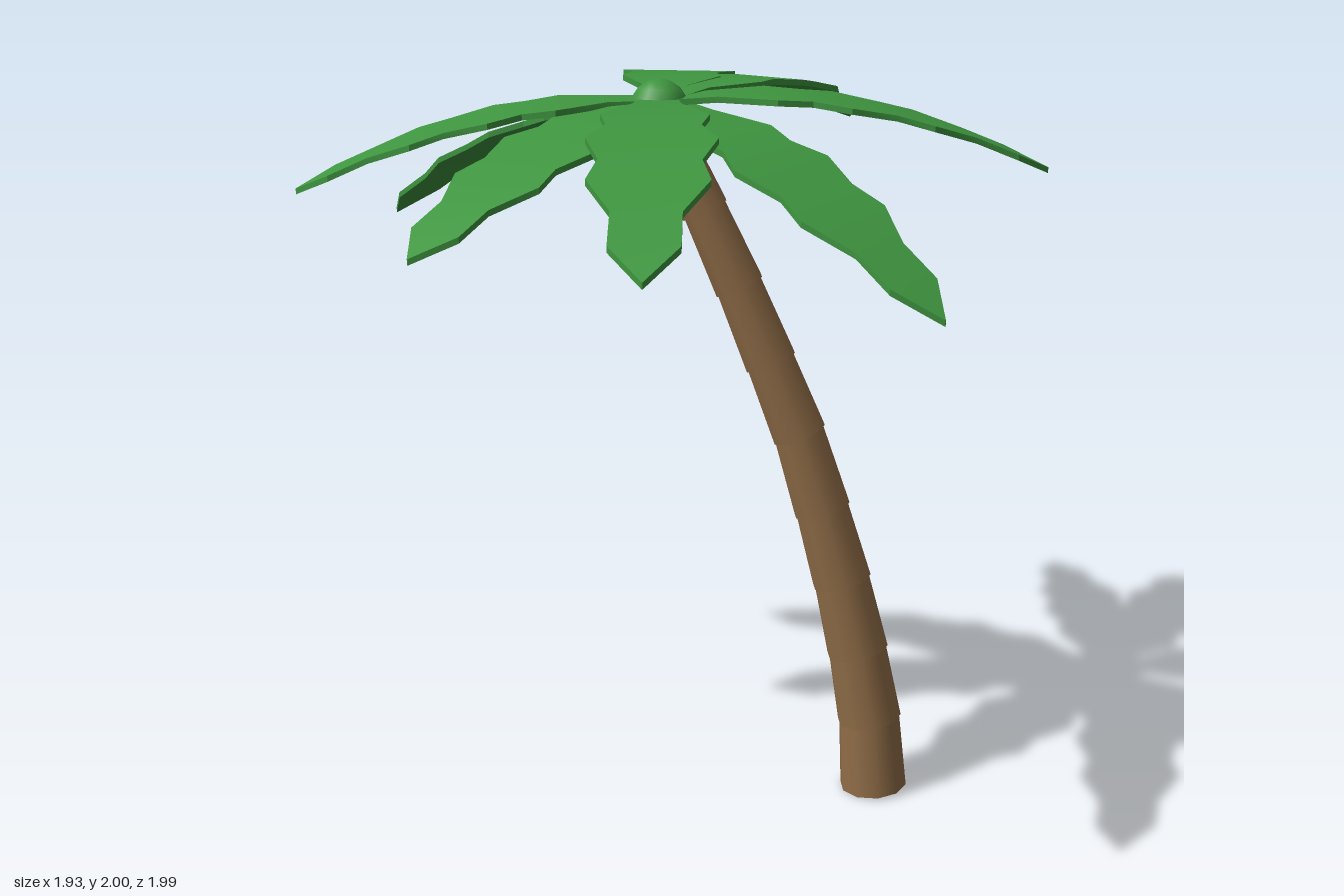
import * as THREE from 'three';
import { toCreasedNormals } from 'three/addons/utils/BufferGeometryUtils.js';

const CROWN = new THREE.Vector3(-0.05, 1.95, -0.045);

// Frond outline: fraction of length, half width
const OUTLINE = [
  [0.04, 0.05], [0.14, 0.06], [0.28, 0.13], [0.37, 0.112], [0.46, 0.153],
  [0.58, 0.117], [0.67, 0.138], [0.79, 0.078], [0.9, 0.078], [1, 0.001],
];

// Frond tips
const TIPS = [
  [0.96, 1.76, -0.085], [0.55, 1.79, -0.86], [0.11, 1.82, -1.0], [-0.78, 1.55, -0.7],
  [-0.97, 1.73, -0.055], [-0.64, 1.69, 0.58], [-0.13, 1.73, 0.99], [0.55, 1.57, 0.72],
];

// Trunk centre line (x, y), one point per ring
const RINGS = [
  [0.555, 0.008], [0.537, 0.22], [0.497, 0.43], [0.447, 0.64], [0.387, 0.85],
  [0.32, 1.065], [0.24, 1.265], [0.155, 1.47], [0.065, 1.67], [-0.045, 1.9],
];

// Drooping blade: thin rectangular sections swept along a parabola
function frondGeometry(tip) {
  const dx = tip[0] - CROWN.x, dz = tip[2] - CROWN.z;
  const length = Math.hypot(dx, dz);
  const ux = dx / length, uz = dz / length;
  const bend = 0.31;
  const rise = (tip[1] - CROWN.y) / length + bend * length;
  const positions = [], index = [];
  OUTLINE.forEach(([t, w], i) => {
    const s = t * length;
    const y = CROWN.y + rise * s - bend * s * s;
    for (const [side, drop] of [[1, 0], [-1, 0], [-1, 0.015], [1, 0.015]]) {
      positions.push(CROWN.x + ux * s - uz * w * side, y - drop, CROWN.z + uz * s + ux * w * side);
    }
    if (i === 0) return;
    for (let k = 0; k < 4; k++) {
      const a = (i - 1) * 4 + k, b = (i - 1) * 4 + (k + 1) % 4;
      index.push(a, a + 4, b, b, a + 4, b + 4);
    }
  });
  const e = (OUTLINE.length - 1) * 4;
  index.push(0, 1, 2, 0, 2, 3, e, e + 2, e + 1, e, e + 3, e + 2);
  const geometry = new THREE.BufferGeometry();
  geometry.setAttribute('position', new THREE.Float32BufferAttribute(positions, 3));
  geometry.setIndex(index);
  return toCreasedNormals(geometry, 0.6);
}

export function createModel() {
  const material = (name, color) => {
    const m = new THREE.MeshStandardMaterial({ color });
    m.name = name;
    return m;
  };
  const leafGreen = material('leafGreen', 0x3f9640);
  leafGreen.side = THREE.DoubleSide;
  const bark = material('bark', 0x94704a);
  const nutBrown = material('nutBrown', 0x5e3828);

  const model = new THREE.Group();
  model.name = 'palmTree';
  const add = (parent, name, geometry, mat) => {
    const mesh = new THREE.Mesh(geometry, mat);
    mesh.name = name;
    parent.add(mesh);
    return mesh;
  };
  const group = (name) => {
    const g = new THREE.Group();
    g.name = name;
    model.add(g);
    return g;
  };

  // Trunk of overlapping tapered segments
  const trunk = group('trunk');
  const up = new THREE.Vector3(0, 1, 0);
  const radius = (i) => 0.094 - 0.0038 * i;
  for (let i = 0; i < RINGS.length - 1; i++) {
    const a = new THREE.Vector3(...RINGS[i], -0.037);
    const b = new THREE.Vector3(...RINGS[i + 1], -0.037);
    const axis = b.clone().sub(a);
    const length = axis.length() + 0.012;
    axis.normalize();
    const segment = add(trunk, 'trunkSegment',
      new THREE.CylinderGeometry(radius(i + 1) - 0.005, radius(i), length, 10), bark);
    segment.quaternion.setFromUnitVectors(up, axis);
    segment.position.copy(a).addScaledVector(axis, length / 2);
  }

  // Fronds
  const fronds = group('fronds');
  TIPS.forEach((tip) => add(fronds, 'frond', frondGeometry(tip), leafGreen));

  // Bud in the middle of the crown
  add(model, 'crownBud', new THREE.SphereGeometry(0.075, 12, 8), leafGreen)
    .position.set(CROWN.x, 1.925, CROWN.z);

  // Coconuts under the crown
  const coconuts = group('coconuts');
  for (const p of [[0.015, 1.865, 0.04], [-0.075, 1.855, 0.04], [-0.065, 1.88, -0.09]]) {
    add(coconuts, 'coconut', new THREE.SphereGeometry(0.046, 10, 8), nutBrown).position.set(...p);
  }
  return model;
}
